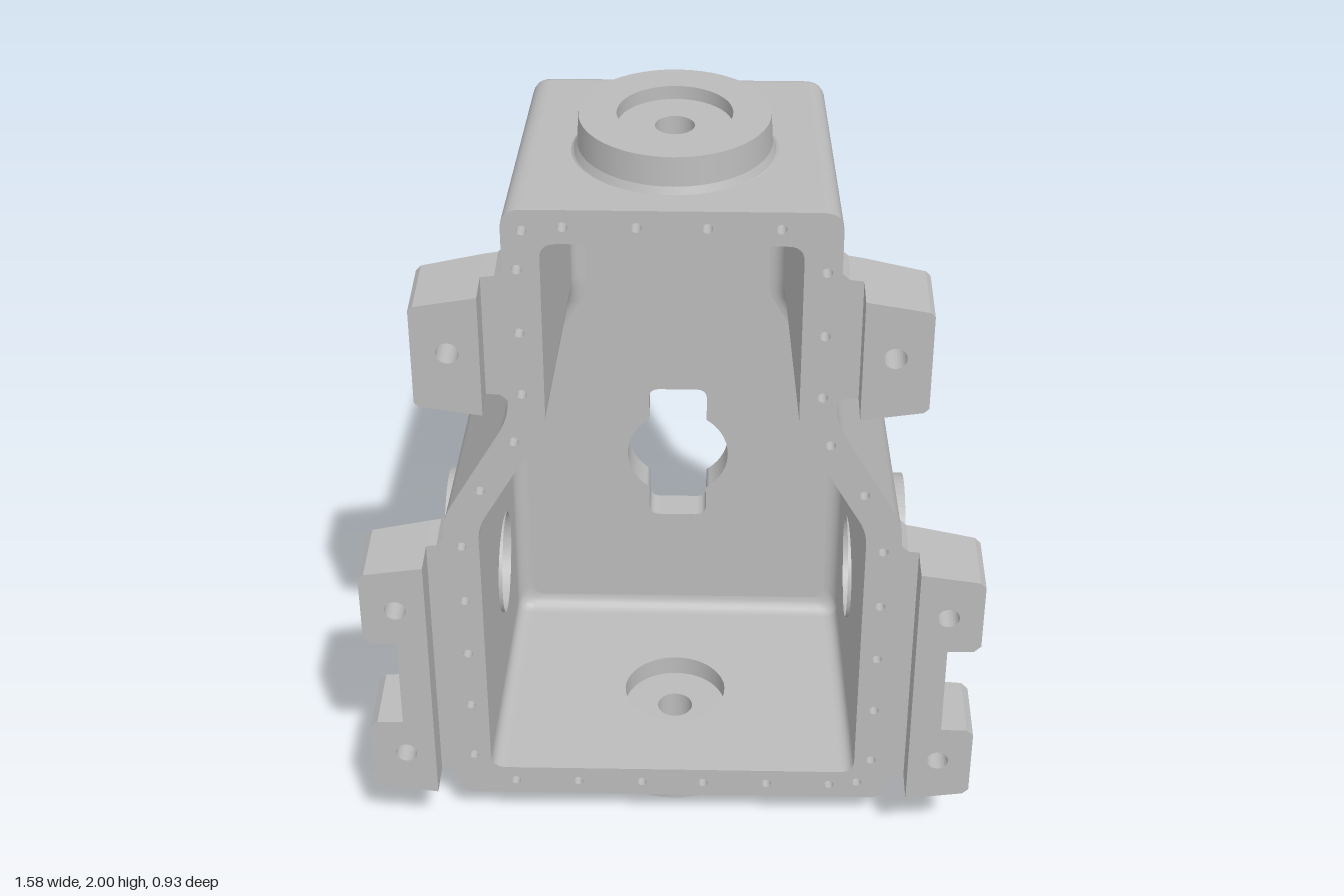
import * as THREE from 'three';

const V2 = (x, y) => new THREE.Vector2(x, y);
const mirrorX = (half) => half.concat(half.map(([x, y]) => [-x, y]).reverse());

// Polygon (counter-clockwise) moved inwards and given rounded corners, n + 1 points per corner
function outline(poly, inset = 0, r = 0.05, n = 6) {
  const p = poly.map(([x, y]) => V2(x, y)), N = p.length;
  const normal = (i) => {
    const d = p[(i + 1) % N].clone().sub(p[i]).normalize();
    return V2(-d.y, d.x);
  };
  const q = p.map((v, i) => {
    const a = normal((i + N - 1) % N), b = normal(i);
    return v.clone().addScaledVector(a.clone().add(b), inset / (1 + a.dot(b)));
  });
  return q.flatMap((v, i) => {
    const toward = (w) => v.clone().add(w.clone().sub(v).setLength(r));
    return new THREE.QuadraticBezierCurve(toward(q[(i + N - 1) % N]), v, toward(q[(i + 1) % N])).getPoints(n);
  });
}

// Skin between outlines at several depths; skipped quads of the first band are left open
function loft(rings, inward = false, skip = []) {
  const n = rings[0].pts.length, pos = [], all = [], kept = [];
  rings.forEach(({ pts, z }) => pts.forEach((p) => pos.push(p.x, p.y, z)));
  for (let j = 0; j < rings.length - 1; j++) {
    for (let i = 0; i < n; i++) {
      const a = j * n + i, b = j * n + (i + 1) % n, c = a + n, d = b + n;
      const f = inward ? [a, b, c, b, d, c] : [a, c, b, b, c, d];
      all.push(...f);
      if (j > 0 || !skip.includes(i)) kept.push(...f);
    }
  }
  const g = new THREE.BufferGeometry();
  g.setAttribute('position', new THREE.Float32BufferAttribute(pos, 3));
  g.setIndex(all);
  g.computeVertexNormals();
  g.setIndex(kept);
  return g;
}

function plate(pts, holes = []) {
  const s = new THREE.Shape(pts);
  s.holes = holes.map((h) => new THREE.Path(h));
  return s;
}
function circle(x, y, rx, ry = rx, n = 16) {
  return Array.from({ length: n }, (_, i) => {
    const t = (i / n) * Math.PI * 2;
    return V2(x + rx * Math.cos(t), y + ry * Math.sin(t));
  });
}
const slab = (shape, z0, z1) =>
  new THREE.ExtrudeGeometry(shape, { depth: z1 - z0, bevelEnabled: false }).translate(0, 0, z0);

export function createModel() {
  const model = new THREE.Group();
  const metal = new THREE.MeshStandardMaterial({ color: 0xbbbbbb, side: THREE.DoubleSide });
  metal.name = 'cast grey metal';
  const add = (name, geometry, parent = model) => {
    const m = new THREE.Mesh(geometry, metal);
    m.name = name;
    parent.add(m);
    return m;
  };
  const group = (name) => {
    const g = new THREE.Group();
    g.name = name;
    model.add(g);
    return g;
  };

  const body = [[0.4, 1.91], [-0.4, 1.91], [-0.4, 1.33], [-0.58, 1.02],
    [-0.58, 0.1], [0.58, 0.1], [0.58, 1.02], [0.4, 1.33]];
  const bossZ = 0.043, sideY = 0.565, sideZ = -0.055;

  // Flat wall of a shell with a round opening; the third coordinate follows the wall plane
  function openWall(name, rings, k, flat, r) {
    const n = rings[0].pts.length, i = k * 7 + 6, i2 = (i + 1) % n;
    const at = (ring, t) => new THREE.Vector3(ring.pts[t].x, ring.pts[t].y, ring.z);
    const c = [at(rings[0], i), at(rings[0], i2), at(rings[1], i2), at(rings[1], i)];
    const plane = new THREE.Plane().setFromCoplanarPoints(c[0], c[1], c[2]);
    const N = plane.normal;
    const hole = flat ? circle(0, bossZ, r, r, 40) : circle(sideZ, sideY, r, r, 40);
    const g = new THREE.ShapeGeometry(plate(c.map((v) => (flat ? V2(v.x, v.z) : V2(v.z, v.y))), [hole]));
    const p = g.attributes.position;
    for (let t = 0; t < p.count; t++) {
      const u = p.getX(t), v = p.getY(t);
      if (flat) p.setXYZ(t, u, -(plane.constant + N.x * u + N.z * v) / N.y, v);
      else p.setXYZ(t, -(plane.constant + N.z * u + N.y * v) / N.x, v, u);
    }
    g.computeVertexNormals();
    add(name, g);
  }

  // Keyhole opening in the back wall
  const key = new THREE.Shape(), a = Math.acos(0.08 / 0.14), cy = 0.76;
  key.absarc(0, cy, 0.14, -a, a);
  key.lineTo(0.08, 0.945).quadraticCurveTo(0.08, 0.975, 0.05, 0.975);
  key.lineTo(-0.05, 0.975).quadraticCurveTo(-0.08, 0.975, -0.08, 0.945);
  key.absarc(0, cy, 0.14, Math.PI - a, Math.PI + a);
  key.lineTo(-0.08, 0.58).quadraticCurveTo(-0.08, 0.55, -0.05, 0.55);
  key.lineTo(0.05, 0.55).quadraticCurveTo(0.08, 0.55, 0.08, 0.58);
  const keyPts = key.getPoints(12);

  // Outer and inner skins, tapering to a rounded back edge
  const shell = (base, zBack, r) => {
    const steps = [[0, 0.37], [0.026, zBack + 0.04]];
    for (let i = 1; i <= 5; i++) {
      const t = (i / 5) * Math.PI / 2;
      steps.push([0.026 + 0.04 * (1 - Math.cos(t)), zBack + 0.04 * (1 - Math.sin(t))]);
    }
    return steps.map(([inset, z]) => ({ pts: outline(body, base + inset, r), z }));
  };
  const outer = shell(0, -0.4, 0.05), inner = shell(0.09, -0.31, 0.04);
  const walls = [0, 3, 4, 5], skip = walls.map((k) => k * 7 + 6);
  for (const [name, rings, inward, r] of [['outer', outer, false, 0.19], ['inner', inner, true, 0.139]]) {
    add(name + 'Skin', loft(rings, inward, skip));
    for (const k of walls) {
      const flat = k === 0 || k === 4;
      openWall(name + 'Wall', rings, k, flat, flat || inward ? r : 0.15);
    }
    const last = rings[rings.length - 1];
    add(name + 'Back', new THREE.ShapeGeometry(plate(last.pts, [keyPts])).translate(0, 0, last.z));
  }
  add('keyholeEdge', loft([{ pts: keyPts, z: -0.31 }, { pts: keyPts, z: -0.4 }], true));

  // Front flange with blind bolt holes
  const bolts = [[-0.35, 1.855], [0.5, 0.155]];
  for (const s of [-1, 1]) {
    for (const [x, y] of [[0.255, 1.865], [0.083, 1.865], [0.365, 1.75], [0.365, 1.575], [0.365, 1.4],
      [0.39, 1.26], [0.48, 1.11], [0.425, 0.145], [0.255, 0.145], [0.083, 0.145]]) bolts.push([s * x, y]);
    for (let i = 0; i < 5; i++) bolts.push([s * 0.535, 0.235 + i * 0.175]);
  }
  const hole = (x, y) => circle(x, y, 0.013, 0.013, 12);
  add('frontFlange', new THREE.ShapeGeometry(
    plate(outer[0].pts, [inner[0].pts, ...bolts.map(([x, y]) => hole(x, y))])).translate(0, 0, 0.37));
  const cup = new THREE.LatheGeometry([V2(0, -0.05), V2(0.013, -0.05), V2(0.013, -0.05), V2(0.013, 0)], 12)
    .rotateX(Math.PI / 2);
  const cups = group('flangeBoltHoles');
  bolts.forEach(([x, y]) => add('boltHole', cup, cups).position.set(x, y, 0.37));

  // Turned surface with sharp edges: each profile step is its own strip
  function turned(name, profile, parent, place = (g) => g) {
    for (let i = 0; i < profile.length - 1; i++) {
      const strip = profile.slice(i, i + 2).map(([r, y]) => V2(r, y));
      add(name, place(new THREE.LatheGeometry(strip, 48)), parent);
    }
  }

  // Top and bottom bosses with a recess on both faces and a bore
  for (const top of [true, false]) {
    const boss = group(top ? 'topBoss' : 'bottomBoss');
    turned('bossSurface', [[0.14, 1.803], [0.14, 1.86], [0.048, 1.86], [0.048, 1.965], [0.14, 1.965],
      [0.14, 2], [0.232, 2], [0.236, 1.925], [0.245, 1.905], [0.265, 1.885]], boss);
    boss.position.set(0, top ? 0 : 2, bossZ);
    boss.scale.y = top ? 1 : -1;
  }

  // Parts on both sides: oval bosses and mounting ears
  for (const s of [1, -1]) {
    const boss = group(s > 0 ? 'leftSideBoss' : 'rightSideBoss');
    const ovalBolts = Array.from({ length: 10 }, (_, i) => {
      const t = (i / 10) * Math.PI * 2;
      return hole(0.165 * Math.sin(t), 0.21 * Math.cos(t));
    });
    add('ovalPlate', slab(plate(circle(0, 0, 0.212, 0.282, 64), [circle(0, 0, 0.12, 0.12, 48), ...ovalBolts]),
      0.545, 0.615).rotateY(Math.PI / 2), boss);
    turned('bore', [[0.139, 0.468], [0.139, 0.53], [0.0625, 0.53], [0.0625, 0.585], [0.12, 0.585]],
      boss, (g) => g.rotateZ(-Math.PI / 2));
    turned('ovalFillet', [[1, 0.593], [1.02, 0.58], [1.09, 0.562]], boss,
      (g) => g.rotateZ(-Math.PI / 2).scale(1, 0.282, 0.212));
    boss.position.set(0, sideY, sideZ);
    boss.scale.x = s;

    const ears = group(s > 0 ? 'leftEars' : 'rightEars');
    ears.scale.x = s;
    const ear = (name, block, web, tip, centres) => {
      const pts = block.map(([x, y]) => V2(x, y));
      const bores = (r) => centres.map(([x, y]) => circle(x, y, r, r, 24));
      add(name, slab(plate(pts, bores(0.028)), 0.29, 0.465), ears);
      // Rear face leans back towards the body
      const lean = (g) => {
        const p = g.attributes.position;
        for (let i = 0; i < p.count; i++) {
          if (p.getZ(i) < 0.28) p.setZ(i, 0.275 - 0.1 * (tip - p.getX(i)));
        }
        g.computeVertexNormals();
        return g;
      };
      add(name + 'Counterbore', lean(slab(plate(pts, bores(0.05)), 0.27, 0.29)), ears);
      add(name + 'Web', lean(slab(plate(web.map(([x, y]) => V2(x, y))), 0.27, 0.3695)), ears);
    };
    ear('lowerEar',
      [[0.625, 0.185], [0.775, 0.207], [0.79, 0.222], [0.79, 0.41], [0.772, 0.428], [0.705, 0.428],
        [0.705, 0.692], [0.772, 0.692], [0.79, 0.71], [0.79, 0.898], [0.775, 0.913], [0.625, 0.935]],
      [[0.57, 0.16], [0.58, 0.165], [0.598, 0.182], [0.6255, 0.185], [0.6255, 0.935], [0.598, 0.938],
        [0.58, 0.955], [0.57, 0.96]], 0.79, [[0.702, 0.8], [0.702, 0.322]]);
    ear('upperEar',
      [[0.452, 1.4], [0.603, 1.423], [0.615, 1.435], [0.615, 1.69], [0.603, 1.702], [0.452, 1.728]],
      [[0.38, 1.38], [0.4, 1.382], [0.418, 1.398], [0.4525, 1.4], [0.4525, 1.728], [0.418, 1.732],
        [0.4, 1.748], [0.38, 1.75]], 0.615, [[0.528, 1.575]]);
  }

  // Back pad: bolted frame with a stepped pocket around the keyhole
  const pad = mirrorX([[0.31, 0.36], [0.31, 0.95], [0.19, 1.18]]);
  const ring = (inset, r) => outline(pad, inset, r, 4);
  const padBolts = new THREE.Path([...ring(0.03, 0.01), ring(0.03, 0.01)[0]]).getSpacedPoints(18).slice(0, 18);
  add('backPad', slab(plate(ring(0, 0.006), [ring(0.06, 0.02), ...padBolts.map((p) => hole(p.x, p.y))]),
    -0.465, -0.395));
  add('backPadStep', slab(plate(ring(0.059, 0.02), [ring(0.095, 0.03)]), -0.448, -0.395));

  return model;
}
